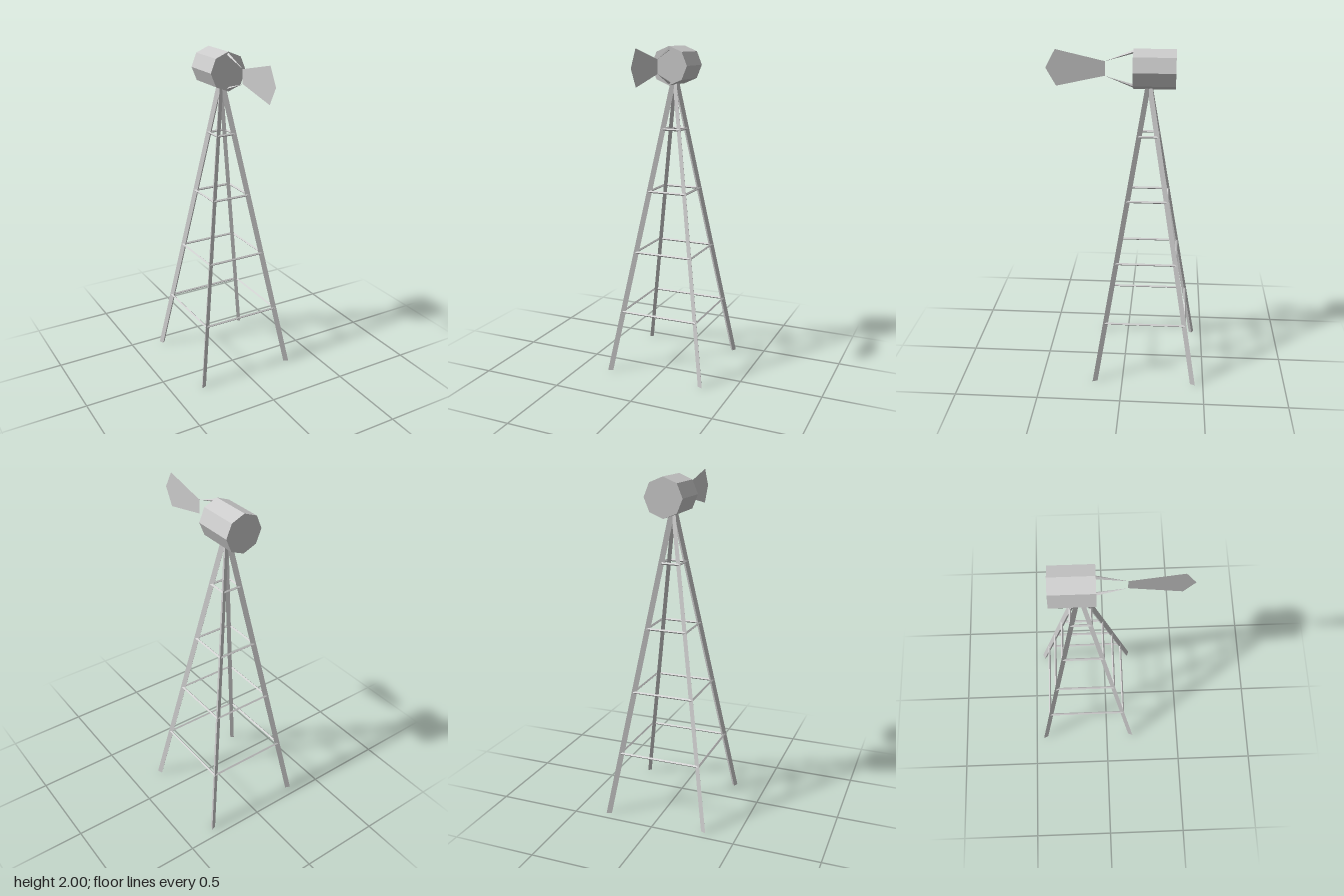
import * as THREE from 'three';

const TOWER_Z = -0.134;
const LEG_TOP = 1.79;
const SLOPE = 0.166;

export function createModel() {
  const model = new THREE.Group();
  model.name = 'windmill';
  const mat = new THREE.MeshStandardMaterial({ color: 0xcccccc, flatShading: true });
  const thinMat = new THREE.MeshStandardMaterial({ color: 0xcccccc, flatShading: true, side: THREE.DoubleSide });

  const add = (parent, name, geometry, material = mat) => {
    const mesh = new THREE.Mesh(geometry, material);
    mesh.name = name;
    parent.add(mesh);
    return mesh;
  };

  // Leg: three-sided prism with its edge outward, leaning in along the diagonal
  const legGeo = new THREE.CylinderGeometry(0.02, 0.02, LEG_TOP, 3);
  legGeo.scale(0.73, 1, 1).rotateY(Math.PI / 4).translate(0, LEG_TOP / 2, 0);
  const p = legGeo.attributes.position;
  for (let i = 0; i < p.count; i++) {
    const lean = 0.303 - SLOPE * p.getY(i);
    p.setX(i, p.getX(i) + lean);
    p.setZ(i, p.getZ(i) + lean);
  }
  legGeo.computeVertexNormals();

  // Tower: four identical sides, each with a leg and its cross bars
  const tower = new THREE.Group();
  tower.name = 'tower';
  tower.position.z = TOWER_Z;
  model.add(tower);
  for (let k = 0; k < 4; k++) {
    const side = new THREE.Group();
    side.name = 'towerSide';
    side.rotation.y = k * Math.PI / 2;
    tower.add(side);
    add(side, 'leg', legGeo);
    for (let level = 1; level <= 4; level++) {
      const y = level * 0.377;
      const offset = 0.308 - SLOPE * y;
      const bar = new THREE.CylinderGeometry(0.0075, 0.0075, 2 * offset, 4);
      bar.rotateZ(Math.PI / 2);
      add(side, 'crossBar', bar).position.set(0, y, offset);
    }
  }

  // Eight-sided drum of the wheel
  const drum = new THREE.CylinderGeometry(0.1135, 0.1135, 0.24, 8);
  drum.rotateX(Math.PI / 2);
  add(model, 'wheelDrum', drum).position.set(0, 1.8865, -0.166);

  // Two tapered struts from the drum to the vane
  for (const s of [1, -1]) {
    const start = new THREE.Vector3(0, 1.8865 + s * 0.098, -0.05);
    const end = new THREE.Vector3(0, 1.8865 + s * 0.041, 0.116);
    const dir = end.clone().sub(start);
    const strut = add(model, 'tailStrut', new THREE.ConeGeometry(0.01, dir.length(), 4));
    strut.position.copy(start).add(end).multiplyScalar(0.5);
    strut.quaternion.setFromUnitVectors(new THREE.Vector3(0, 1, 0), dir.normalize());
  }

  // Flat tail vane, drawn in (z, y) and turned to lie in the x = 0 plane
  const outline = [[0.114, 1.928], [0.395, 1.992], [0.453, 1.888], [0.395, 1.785], [0.114, 1.846]];
  const vane = new THREE.ShapeGeometry(new THREE.Shape(outline.map(([z, y]) => new THREE.Vector2(z, y))));
  vane.rotateY(-Math.PI / 2);
  add(model, 'tailVane', vane, thinMat);

  return model;
}
